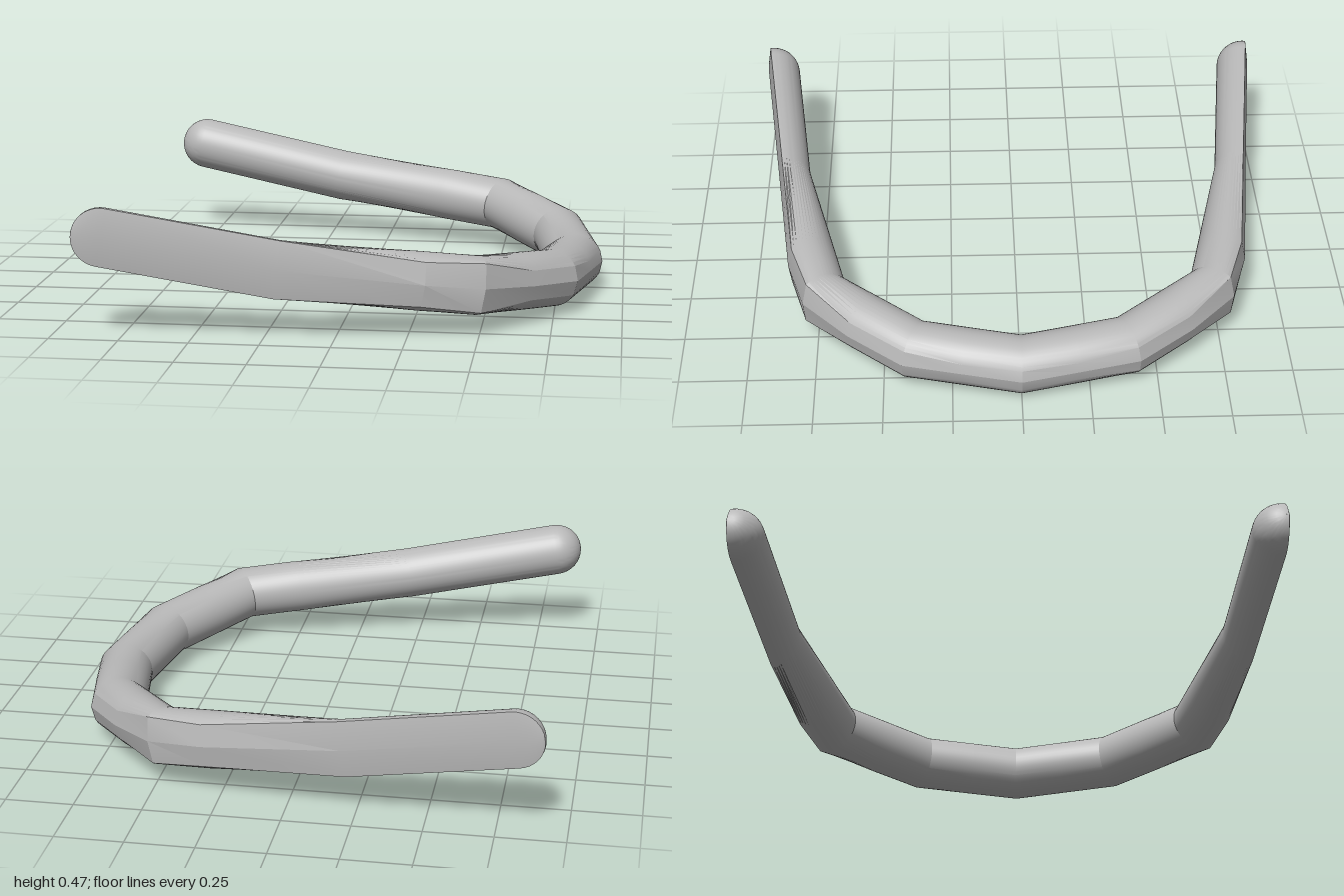
import * as THREE from 'three';
import { toCreasedNormals } from 'three/addons/utils/BufferGeometryUtils.js';

const R = 0.105;      // tube radius
const ARC = 36;       // steps around the round part of a section
const RING = ARC + 2; // plus one ridge point on the trimmed outer face

// Half of the bent centre line, from one tip to the middle
const HALF = [
  [-0.81, 0.365, 0.973], [-0.2, 0.25, 0.905], [0.482, 0.176, 0.738],
  [0.738, 0.128, 0.389], [0.812, 0.107, 0],
];
// How far the outer side reaches past the centre line: [joint number, reach]
const REACH = [[0, 0.008], [1, 0.004], [1.7, 0.068], [2, 0.056], [2.5, 0.09], [3, 0.09], [3.5, 0.098], [4, 0.096]];

// Mitred frame at each joint of the centre line
function makeJoints() {
  const back = HALF.slice(0, -1).reverse().map(([x, y, z]) => [x, y, -z]);
  const pts = [...HALF, ...back].map((p) => new THREE.Vector3(...p));
  const dirs = pts.slice(1).map((p, i) => p.clone().sub(pts[i]).normalize());
  const up = new THREE.Vector3(0, 1, 0);
  return pts.map((p, i) => {
    const a = dirs[Math.max(i - 1, 0)], b = dirs[Math.min(i, dirs.length - 1)];
    const t = a.clone().add(b).normalize();
    const n = t.clone().cross(up).normalize();
    const v = n.clone().cross(t).normalize();
    n.divideScalar(t.dot(a)); // widen the mitre
    return { p, n, v, t };
  });
}

function buildBar() {
  const joints = makeJoints();
  const pos = [], index = [];
  let rings = 0;

  // Round section with its outer side trimmed to a shallow ridge
  function addRing(p, n, v, reach, r) {
    const edge = Math.min(reach, r * 0.97);
    const a0 = Math.acos(edge / r);
    const put = (u, w) => {
      const q = p.clone().addScaledVector(n, u).addScaledVector(v, w);
      pos.push(q.x, q.y, q.z);
    };
    for (let i = 0; i <= ARC; i++) {
      const a = a0 + (2 * Math.PI - 2 * a0) * i / ARC;
      put(r * Math.cos(a), r * Math.sin(a));
    }
    put(Math.min(edge + 0.014 * r / R, r), 0);
    rings++;
  }

  // Rounded tips, sign -1 at the start and +1 at the end
  function addTip(j, sign) {
    for (let k = 0; k < 9; k++) {
      const f = sign < 0 ? 9 - k : k + 1;
      const phi = f / 9 * Math.PI / 2;
      const p = j.p.clone().addScaledVector(j.t, sign * R * Math.sin(phi));
      addRing(p, j.n, j.v, REACH[0][1], Math.max(R * Math.cos(phi), 0.001));
    }
  }

  addTip(joints[0], -1);
  const mirrored = REACH.slice(0, -1).reverse().map(([s, r]) => [8 - s, r]);
  for (const [s, reach] of [...REACH, ...mirrored]) {
    const i = Math.min(Math.floor(s), 7), f = s - i;
    const a = joints[i], b = joints[i + 1];
    addRing(a.p.clone().lerp(b.p, f), a.n.clone().lerp(b.n, f), a.v.clone().lerp(b.v, f), reach, R);
  }
  addTip(joints[8], 1);

  for (let i = 0; i < rings - 1; i++) {
    for (let j = 0; j < RING; j++) {
      const a = i * RING + j, b = i * RING + (j + 1) % RING;
      index.push(a, a + RING, b, b, a + RING, b + RING);
    }
  }
  const g = new THREE.BufferGeometry();
  g.setAttribute('position', new THREE.Float32BufferAttribute(pos, 3));
  g.setIndex(index);
  return toCreasedNormals(g, 0.32);
}

export function createModel() {
  const group = new THREE.Group();
  group.name = 'bentBar';
  const grey = new THREE.MeshStandardMaterial({ color: 0xb8b8b8 });
  grey.name = 'light grey';
  const bar = new THREE.Mesh(buildBar(), grey);
  bar.name = 'curvedBar';
  group.add(bar);
  return group;
}
